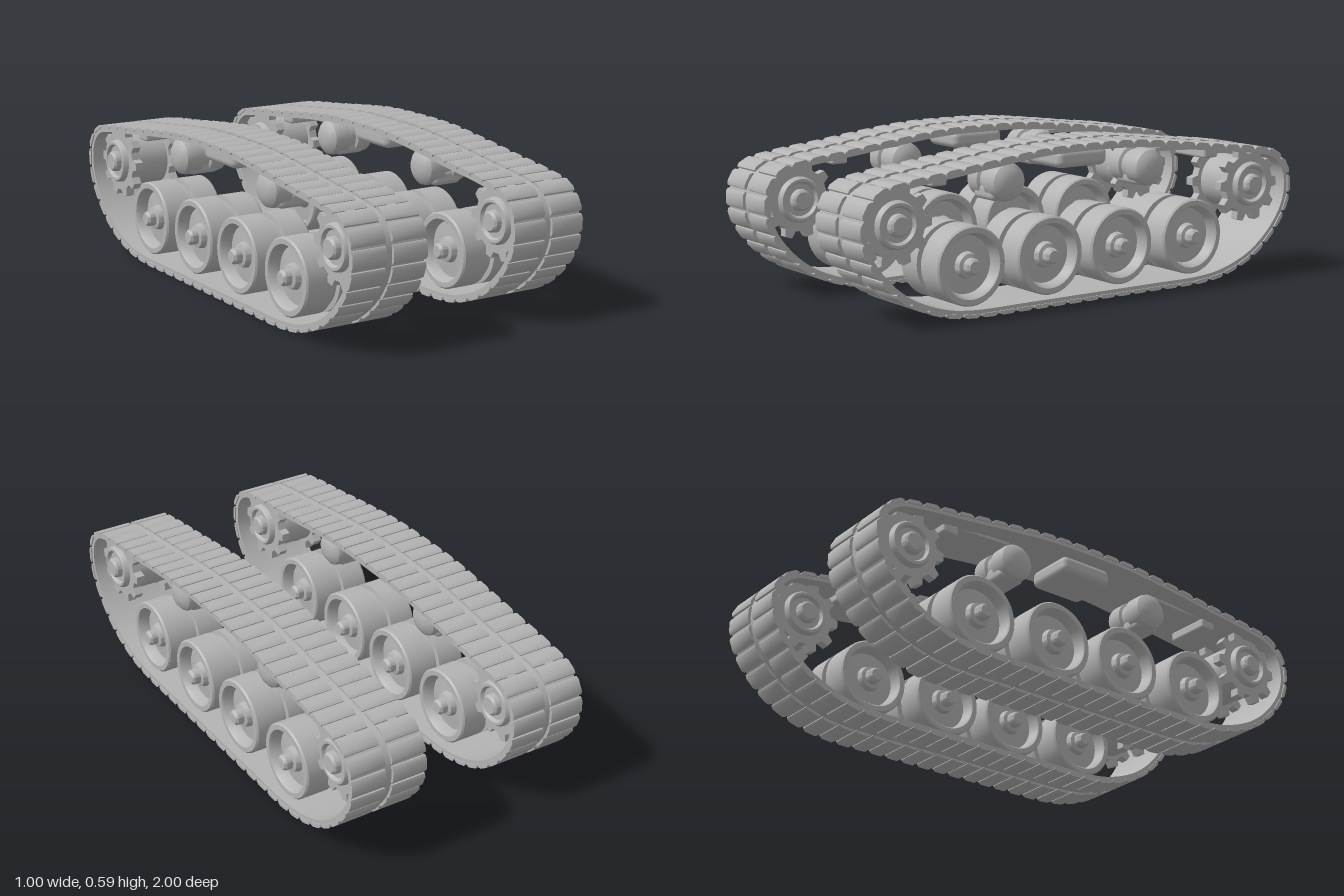
import * as THREE from 'three';
import { mergeGeometries, toCreasedNormals } from 'three/addons/utils/BufferGeometryUtils.js';
import { RoundedBoxGeometry } from 'three/addons/geometries/RoundedBoxGeometry.js';

const steel = new THREE.MeshStandardMaterial({ color: 0xb4b4b4 });
steel.name = 'grey steel';

const V = (x, y) => new THREE.Vector2(x, y);

function add(parent, name, geometry, z = 0, y = 0, x = 0) {
  const mesh = new THREE.Mesh(geometry, steel);
  mesh.name = name;
  mesh.position.set(x, y, z);
  parent.add(mesh);
  return mesh;
}

// Extrudes a (z, y) profile across the track, centred on x = 0
function across(shape, width) {
  return new THREE.ExtrudeGeometry(shape, { depth: width, bevelEnabled: false, curveSegments: 8 })
    .translate(0, 0, -width / 2).rotateY(-Math.PI / 2);
}

// Turned part on the x axis, mirrored from a half profile of [radius, distance from middle]
function turned(half, segments = 40) {
  const points = [...half.map(([r, a]) => V(r, -a)), ...half.slice().reverse().map(([r, a]) => V(r, a))];
  return toCreasedNormals(new THREE.LatheGeometry(points, segments).rotateZ(-Math.PI / 2), 0.6);
}

// Track loop in (z, y), running counter-clockwise from the bottom middle
const side = [[0.3, 0.014], [0.54, 0.016], [0.66, 0.034], [0.8, 0.09], [0.905, 0.175], [0.97, 0.27],
  [0.988, 0.35], [0.972, 0.43], [0.915, 0.487], [0.8, 0.513], [0.6, 0.537], [0.4, 0.562], [0.2, 0.582]];
const loop = new THREE.CatmullRomCurve3([
  [0, 0.014], ...side, [0, 0.586], ...side.slice().reverse().map(([z, y]) => [-z, y]),
].map(([z, y]) => new THREE.Vector3(z, y, 0)), true);
loop.arcLengthDivisions = 600;

function bandGeometry() {
  const outer = [], inner = [];
  for (let i = 0; i < 160; i++) {
    const p = loop.getPointAt(i / 160), t = loop.getTangentAt(i / 160);
    outer.push(V(p.x, p.y));
    inner.push(V(p.x - t.y * 0.018, p.y + t.x * 0.018));
  }
  const shape = new THREE.Shape(outer);
  shape.holes.push(new THREE.Path(inner));
  return toCreasedNormals(across(shape, 0.3), 0.6);
}

// Two raised pads on every link, either side of the centre groove
function padsGeometry() {
  const count = 58, parts = [];
  const profile = new THREE.Shape([V(-0.034, 0.004), V(-0.034, -0.003), V(-0.022, -0.011),
    V(0.022, -0.011), V(0.034, -0.003), V(0.034, 0.004)]);
  for (let i = 0; i < count; i++) {
    const p = loop.getPointAt(i / count), t = loop.getTangentAt(i / count);
    for (const s of [-1, 1]) {
      parts.push(new THREE.ExtrudeGeometry(profile, { depth: 0.141, bevelEnabled: false })
        .translate(0, 0, -0.0705 + s * 0.0845)
        .rotateZ(Math.atan2(t.y, t.x)).translate(p.x, p.y, 0).rotateY(-Math.PI / 2));
    }
  }
  return toCreasedNormals(mergeGeometries(parts), 0.6);
}

// Toothed ring plate
function gearGeometry() {
  const teeth = 10, points = [];
  for (let i = 0; i < teeth; i++) {
    for (const [f, r] of [[-0.3, 0.122], [-0.16, 0.15], [0.16, 0.15], [0.3, 0.122]]) {
      const a = ((i + f) / teeth) * Math.PI * 2;
      points.push(V(Math.cos(a) * r, Math.sin(a) * r));
    }
  }
  return across(new THREE.Shape(points), 0.035);
}

function createModel() {
  const model = new THREE.Group();
  model.name = 'pairOfTracks';

  const band = bandGeometry(), pads = padsGeometry(), gear = gearGeometry();

  // Dished twin-rim wheel with a stepped hub
  const wheel = turned([[0, 0.146], [0.022, 0.146], [0.03, 0.136], [0.03, 0.112], [0.044, 0.108],
    [0.05, 0.086], [0.108, 0.08], [0.116, 0.118], [0.122, 0.125], [0.141, 0.125], [0.147, 0.118],
    [0.147, 0.014], [0.128, 0.012]]);
  const drum = turned([[0, 0.14], [0.032, 0.14], [0.04, 0.132], [0.042, 0.112], [0.062, 0.112],
    [0.07, 0.125], [0.08, 0.125], [0.086, 0.116], [0.09, 0.09], [0.105, 0.07], [0.105, 0.02]]);
  const roller = turned([[0, 0.108], [0.025, 0.108], [0.05, 0.1], [0.068, 0.085], [0.072, 0.07],
    [0.072, 0.02], [0.06, 0.015]], 28);
  const block = new RoundedBoxGeometry(0.2, 0.07, 0.23, 4, 0.026);

  for (const s of [-1, 1]) {
    const track = new THREE.Group();
    track.name = s > 0 ? 'leftTrack' : 'rightTrack';
    track.position.x = s * 0.345;
    model.add(track);

    add(track, 'trackBand', band);
    add(track, 'trackPads', pads);
    [0.52, 0.17, -0.165, -0.515].forEach((z, i) => add(track, 'roadWheel' + (i + 1), wheel, z, 0.187));
    add(track, 'topSkidBlock', block, 0, 0.535);

    for (const e of [-1, 1]) {
      const end = e > 0 ? 'front' : 'rear';
      // Sprocket: two toothed plates on a drum
      const sprocket = new THREE.Group();
      sprocket.name = end + 'Sprocket';
      sprocket.position.set(0, 0.365, e * 0.825);
      track.add(sprocket);
      add(sprocket, 'sprocketDrum', drum);
      for (const g of [-1, 1]) add(sprocket, 'toothedPlate', gear, 0, 0, g * 0.085);

      // Return roller with its mounting foot and guide rail
      add(track, end + 'ReturnRoller', roller, e * 0.33, 0.47);
      add(track, end + 'RollerFoot', new RoundedBoxGeometry(0.13, 0.06, 0.11, 3, 0.02), e * 0.335, 0.43);
      const rail = add(track, end + 'GuideRail', new THREE.BoxGeometry(0.16, 0.012, 0.24), e * 0.48, 0.53);
      rail.rotation.x = e * 0.04;
      add(track, end + 'GuideBracket', new RoundedBoxGeometry(0.18, 0.04, 0.07, 2, 0.01), e * 0.635, 0.502);
    }
  }
  return model;
}

export { createModel };
